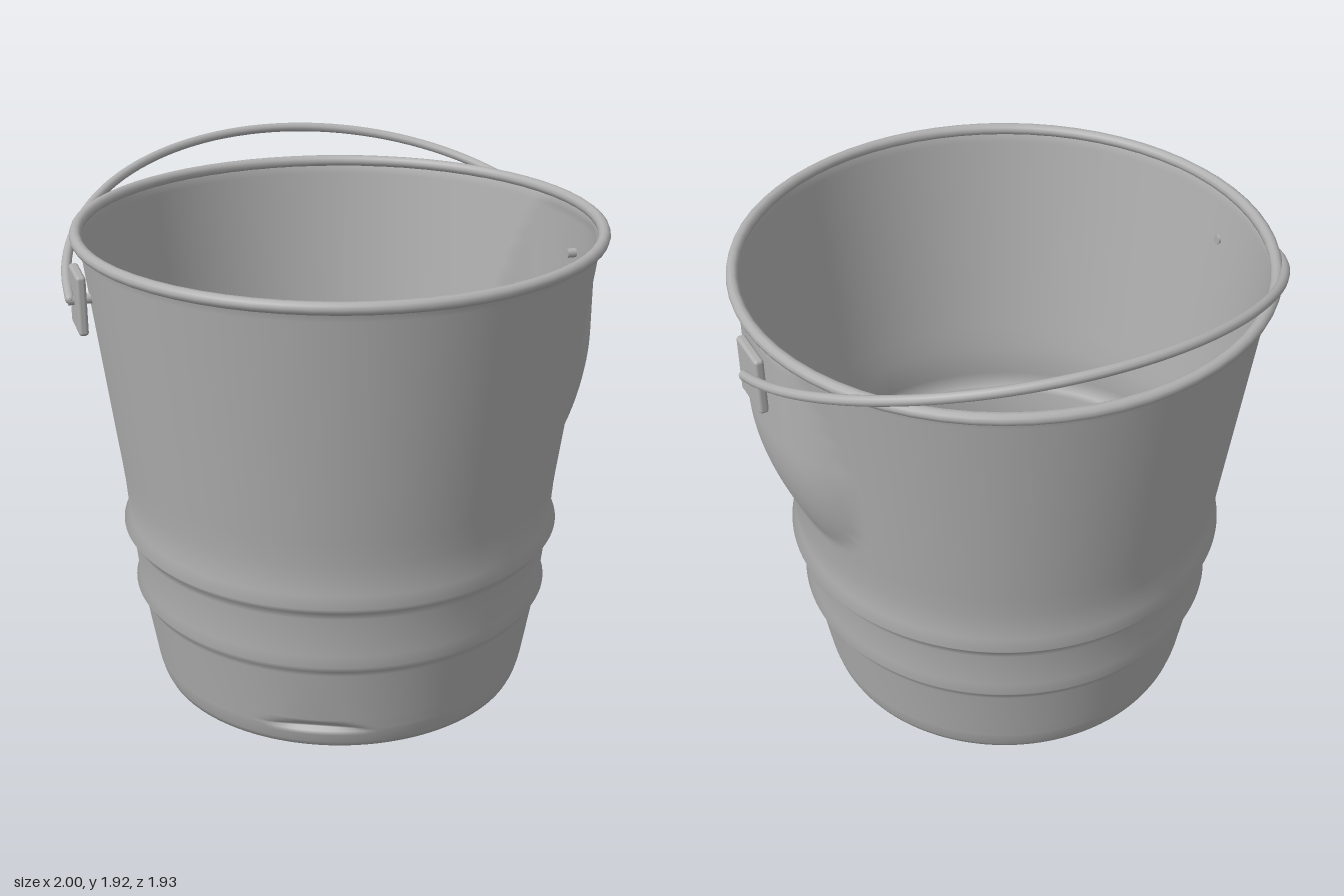
import * as THREE from 'three';
import { mergeVertices } from 'three/addons/utils/BufferGeometryUtils.js';
import { RoundedBoxGeometry } from 'three/addons/geometries/RoundedBoxGeometry.js';

const SEGMENTS = 160;

function bucketWall() {
  // Outer profile with two rolled beads; finer rows where the side is bulged
  const profile = [
    [0, 0], [0.67, 0], [0.695, 0.004], [0.705, 0.025], [0.715, 0.06], [0.719, 0.079], [0.72, 0.083],
    [0.722, 0.096], [0.725, 0.113], [0.728, 0.13], [0.762, 0.335], [0.768, 0.355], [0.79, 0.385],
    [0.776, 0.42], [0.792, 0.58], [0.798, 0.605], [0.825, 0.635], [0.803, 0.675], [0.812, 0.8],
  ].map(([r, y]) => new THREE.Vector2(r, y));
  for (let i = 0; i <= 36; i++) {
    const t = i / 36;
    profile.push(new THREE.Vector2(0.82 + 0.11 * t, 0.87 + 0.86 * t));
  }
  profile.push(new THREE.Vector2(0.94, 1.755));

  let geo = new THREE.LatheGeometry(profile, SEGMENTS);
  const p = geo.attributes.position;
  for (let i = 0; i < p.count; i++) {
    let x = p.getX(i), z = p.getZ(i);
    const y = p.getY(i);
    // Bulge pushed out on the left side
    if (x > 0 && y > 0.85 && y < 1.73 && Math.abs(z) < 0.46) {
      const d = Math.max(0, 1.35 - y);
      x = Math.max(x, 0.935 - 0.62 * d * d - 0.4 * z * z - 4 * z ** 4);
    }
    // Small dent low on the front
    if (y > 0.081 && y < 0.14) {
      const ux = -0.41, uz = 0.912;
      const over = x * ux + z * uz - (0.692 + 0.78 * (y - 0.083));
      if (over > 0) {
        x -= ux * over;
        z -= uz * over;
      }
    }
    p.setXYZ(i, x, y, z);
  }
  // Weld the seam so the wall shades smoothly all round
  geo.deleteAttribute('uv');
  geo.deleteAttribute('normal');
  geo = mergeVertices(geo, 1e-5);
  geo.computeVertexNormals();
  return geo;
}

export function createModel() {
  const model = new THREE.Group();
  model.name = 'bucket';

  const metal = new THREE.MeshStandardMaterial({ color: 0xb0b0b0, side: THREE.DoubleSide });
  metal.name = 'grey metal';

  const add = (name, geometry, x = 0, y = 0, z = 0) => {
    const mesh = new THREE.Mesh(geometry, metal);
    mesh.name = name;
    mesh.position.set(x, y, z);
    model.add(mesh);
    return mesh;
  };

  add('wall', bucketWall());

  // Raised floor inside
  add('innerFloor', new THREE.CircleGeometry(0.717, 64), 0, 0.075, 0).rotation.x = -Math.PI / 2;

  // Rolled rim
  add('rim', new THREE.TorusGeometry(0.942, 0.022, 10, 64), 0, 1.757, 0).rotation.x = Math.PI / 2;

  // Side plates with the pins that hold the handle
  for (const [side, label] of [[1, 'left'], [-1, 'right']]) {
    add(label + 'HandlePlate', new RoundedBoxGeometry(0.034, 0.215, 0.18, 3, 0.012), side * 0.952, 1.565, 0);
    add(label + 'HandlePin', new THREE.CylinderGeometry(0.018, 0.018, 0.09, 12), side * 0.945, 1.565, 0)
      .rotation.z = Math.PI / 2;
  }

  // Tilted handle resting towards the back
  const points = [];
  for (let i = 0; i <= 24; i++) {
    const a = (i / 24) * Math.PI;
    points.push(new THREE.Vector3(0.982 * Math.cos(a), 1.57 + 0.332 * Math.sin(a), -0.94 * Math.sin(a)));
  }
  add('handle', new THREE.TubeGeometry(new THREE.CatmullRomCurve3(points), 64, 0.018, 10));
  for (const side of [-1, 1]) {
    add('handleEnd', new THREE.SphereGeometry(0.018, 12, 8), side * 0.982, 1.57, 0);
  }

  return model;
}
